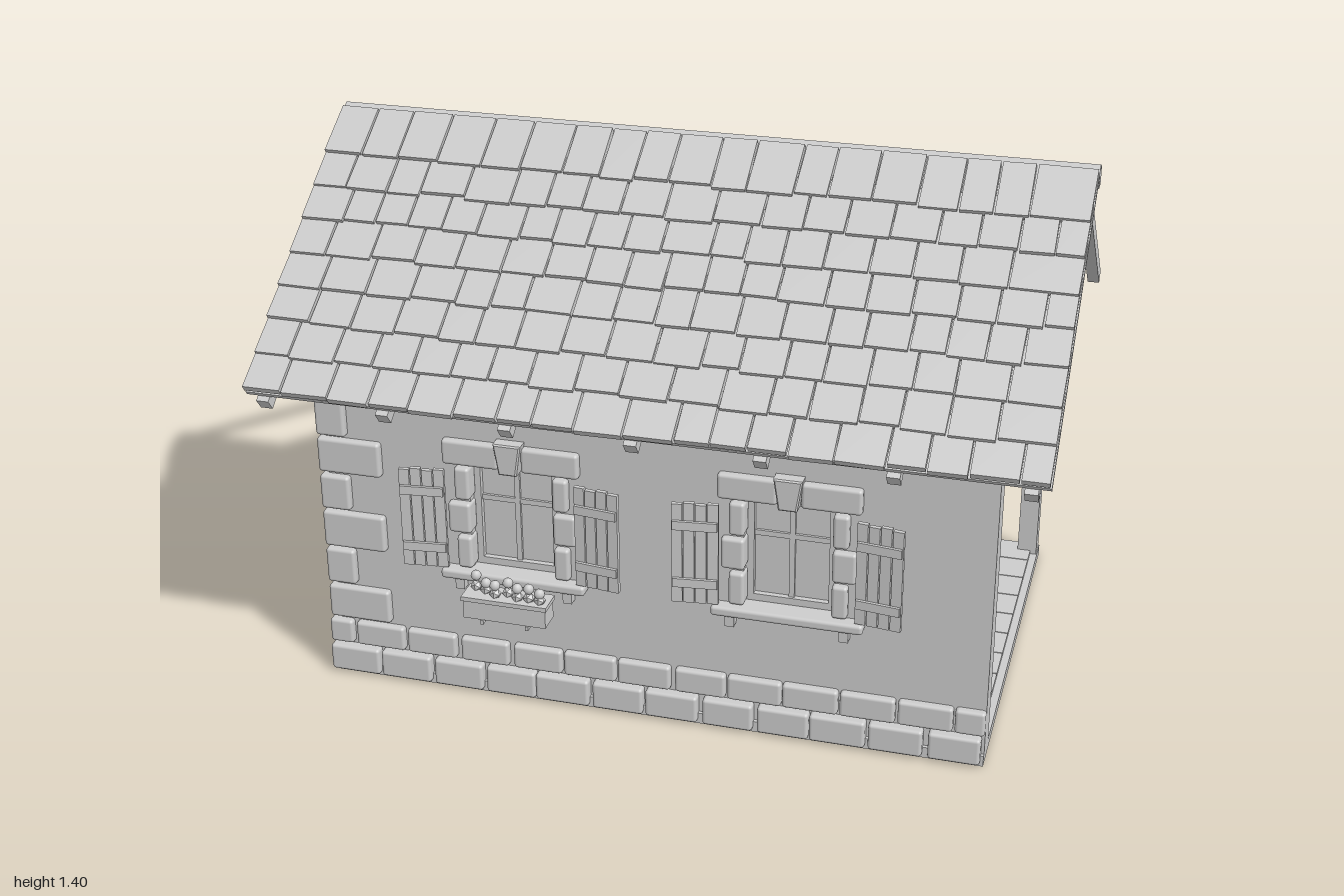
import * as THREE from 'three';
import { RoundedBoxGeometry } from 'three/addons/geometries/RoundedBoxGeometry.js';

const grey = new THREE.MeshStandardMaterial({ color: 0xcccccc });
grey.name = 'plain grey';

let seed = 7;
const rand = () => (seed = (seed * 16807) % 2147483647) / 2147483647;

function add(parent, name, geo, x = 0, y = 0, z = 0) {
  const m = new THREE.Mesh(geo, grey);
  m.name = name;
  m.position.set(x, y, z);
  parent.add(m);
  return m;
}

// box given by its lower and upper bounds
function span(parent, name, x0, x1, y0, y1, z0, z1) {
  return add(parent, name, new THREE.BoxGeometry(x1 - x0, y1 - y0, z1 - z0),
    (x0 + x1) / 2, (y0 + y1) / 2, (z0 + z1) / 2);
}

// softly rounded stone, same bounds
function stone(parent, name, x0, x1, y0, y1, z0, z1) {
  return add(parent, name, new RoundedBoxGeometry(x1 - x0, y1 - y0, z1 - z0, 2, 0.009),
    (x0 + x1) / 2, (y0 + y1) / 2, (z0 + z1) / 2);
}

function group(parent, name) {
  const g = new THREE.Group();
  g.name = name;
  parent.add(g);
  return g;
}

// Wall in local space: outer face at z = 0, facing +z, with window openings
function wall(parent, name, x0, x1, windows) {
  const s = new THREE.Shape();
  s.moveTo(x0, 0.01).lineTo(x1, 0.01).lineTo(x1, 0.905).lineTo(x0, 0.905).closePath();
  for (const c of windows) {
    const h = new THREE.Path();
    h.moveTo(c - 0.115, 0.365).lineTo(c - 0.115, 0.665).lineTo(c + 0.115, 0.665).lineTo(c + 0.115, 0.365).closePath();
    s.holes.push(h);
  }
  add(parent, name, new THREE.ExtrudeGeometry(s, { depth: 0.07, bevelEnabled: false }), 0, 0, -0.07);
}

function windowUnit(parent, cx) {
  const g = group(parent, 'window');
  g.position.x = cx;
  // sash, glazing bars and pane
  for (const s of [-1, 1]) span(g, 'windowFrame', s * 0.105 - 0.01, s * 0.105 + 0.01, 0.365, 0.665, -0.06, -0.025);
  for (const y of [0.375, 0.655]) span(g, 'windowFrame', -0.095, 0.095, y - 0.01, y + 0.01, -0.06, -0.025);
  span(g, 'glazingBar', -0.007, 0.007, 0.385, 0.645, -0.052, -0.032);
  span(g, 'glazingBar', -0.095, 0.095, 0.548, 0.562, -0.051, -0.033);
  span(g, 'pane', -0.095, 0.095, 0.385, 0.645, -0.044, -0.04);
  // inside and outside sills
  span(g, 'innerSill', -0.125, 0.125, 0.358, 0.368, -0.09, -0.045);
  stone(g, 'sill', -0.193, 0.193, 0.34, 0.367, -0.03, 0.035);
  for (const s of [-1, 1]) {
    span(g, 'sillBracket', s * 0.145 - 0.012, s * 0.145 + 0.012, 0.31, 0.34, 0, 0.025);
    // stone surround
    [[0.37, 0.46, 0.15], [0.47, 0.555, 0.17], [0.565, 0.655, 0.15]].forEach(([y0, y1, w]) =>
      stone(g, 'jambStone', Math.min(s * 0.11, s * w), Math.max(s * 0.11, s * w), y0, y1, -0.03, 0.02));
    stone(g, 'lintelStone', s > 0 ? 0.03 : -0.18, s > 0 ? 0.18 : -0.03, 0.662, 0.73, -0.03, 0.02);
    // shutter of four slats and two battens
    const sh = group(g, 'shutter');
    sh.position.set(s * 0.172, 0, 0.018);
    sh.rotation.y = -s * 0.12;
    for (let i = 0; i < 4; i++) {
      const x = s * (0.015 + i * 0.03);
      span(sh, 'shutterSlat', x - 0.0135, x + 0.0135, 0.372, 0.65 - 0.004 * (i % 2), 0, 0.012);
    }
    for (const y of [0.43, 0.59]) span(sh, 'shutterBatten', s > 0 ? 0.004 : -0.116, s > 0 ? 0.116 : -0.004, y - 0.012, y + 0.012, 0.012, 0.02);
  }
  // tapered keystone
  const k = new THREE.Shape();
  k.moveTo(-0.02, 0.662).lineTo(0.02, 0.662).lineTo(0.032, 0.738).lineTo(-0.032, 0.738).closePath();
  add(g, 'keystone', new THREE.ExtrudeGeometry(k, { depth: 0.045, bevelSize: 0.004, bevelThickness: 0.004, bevelSegments: 1 }), 0, 0, -0.015);
  return g;
}

function flowerBox(g) {
  const box = group(g, 'flowerBox');
  span(box, 'boxBody', -0.11, 0.11, 0.272, 0.33, 0.035, 0.097);
  span(box, 'boxRim', -0.114, 0.114, 0.322, 0.334, 0.031, 0.101);
  for (const x of [-0.06, 0.06]) {
    span(box, 'boxBracket', x - 0.004, x + 0.004, 0.26, 0.272, 0, 0.1);
    span(box, 'boxBracket', x - 0.004, x + 0.004, 0.22, 0.27, 0, 0.008);
  }
  for (let i = 0; i < 7; i++) {
    const x = -0.09 + i * 0.03, z = 0.066 + (rand() - 0.5) * 0.035, y = 0.355 + rand() * 0.018;
    add(box, 'flower', new THREE.IcosahedronGeometry(0.014, 1), x, y, z);
    add(box, 'leaves', new THREE.IcosahedronGeometry(0.016, 0), x, 0.341, z);
  }
}

// Two courses of base stones along local x
function baseStones(parent, x0, x1) {
  [[0.008, 0.083, 0], [0.09, 0.158, 0.5]].forEach(([y0, y1, shift], row) => {
    const n = Math.round((x1 - x0) / 0.146), w = (x1 - x0) / n;
    for (let i = 0; i <= n; i++) {
      const a = Math.max(x0, x0 + (i - shift) * w + (i ? (rand() - 0.5) * 0.015 : 0));
      const b = Math.min(x1, x0 + (i + 1 - shift) * w - 0.008);
      if (b - a > 0.03) stone(parent, 'baseStone', a, b, y0, y1, -0.02, 0.027 - row * 0.007);
    }
  });
}

const quoinRows = [[0.168, 0.262], [0.272, 0.372], [0.38, 0.482], [0.49, 0.586], [0.596, 0.692], [0.7, 0.802], [0.81, 0.885]];

export function createModel() {
  const model = new THREE.Group();
  model.name = 'openBackCottage';

  // floor
  span(model, 'floorSlab', -0.87, 0.86, 0, 0.03, -0.56, 0.56);
  for (let i = 0; i < 10; i++) span(model, 'floorPlank', -0.79, 0.84, 0.03, 0.04, -0.545 + i * 0.105, -0.443 + i * 0.105);

  // front wall
  const front = group(model, 'frontSide');
  front.position.z = 0.55;
  wall(front, 'frontWall', -0.86, 0.86, [-0.36, 0.355]);
  flowerBox(windowUnit(front, -0.36));
  windowUnit(front, 0.355);
  baseStones(front, -0.885, 0.86);

  // end wall, turned to face -x
  const end = group(model, 'endSide');
  end.position.x = -0.86;
  end.rotation.y = -Math.PI / 2;
  wall(end, 'endWall', -0.555, 0.55, [-0.005]);
  windowUnit(end, -0.005);
  baseStones(end, -0.56, 0.55);

  // corner stones, long and short faces alternating
  quoinRows.forEach(([y0, y1], i) => {
    const long = i % 2 === 0;
    stone(model, 'cornerStone', -0.88, long ? -0.71 : -0.8, y0, y1, long ? 0.48 : 0.4, 0.57);
  });

  // skirting
  span(model, 'skirting', -0.79, -0.78, 0.04, 0.08, -0.48, 0.48);
  span(model, 'skirting', -0.78, 0.84, 0.04, 0.08, 0.47, 0.48);

  // timber frame
  for (const x of [-0.815, -0.22, 0.22, 0.83]) span(model, 'post', x - 0.027, x + 0.027, 0.03, 0.91, -0.555, -0.5);
  for (const z of [-0.53, 0.52]) span(model, 'wallPlate', -0.86, 0.86, 0.905, 0.953, z - 0.028, z + 0.028);
  for (const x of [-0.832, -0.285, 0.285, 0.832]) span(model, 'tieBeam', x - 0.026, x + 0.026, 0.918, 0.962, -0.572, 0.55);
  span(model, 'ridgeBeam', -0.99, 0.99, 1.345, 1.392, -0.02, 0.02);

  // table
  const table = group(model, 'table');
  span(table, 'tableTop', -0.5, 0.49, 0.292, 0.316, 0.045, 0.318);
  for (const x of [-0.37, 0.37]) {
    for (const z of [0.07, 0.285]) span(table, 'tableLeg', x - 0.016, x + 0.016, 0.04, 0.292, z - 0.016, z + 0.016);
  }

  // roof slopes: local z runs down the slope, local y is its normal
  const pitch = Math.atan(0.77), length = 0.7 / Math.cos(pitch);
  for (const side of [1, -1]) {
    const slope = group(model, side > 0 ? 'frontRoof' : 'backRafters');
    slope.position.y = 1.375;
    slope.rotation.x = side * pitch;
    for (let i = -3; i <= 3; i++) {
      const x = i * 0.315;
      span(slope, 'rafter', x - 0.016, x + 0.016, -0.0175, 0.0175, side > 0 ? 0 : -length, side > 0 ? length : 0);
    }
    if (side < 0) continue;
    span(slope, 'roofBoard', -0.99, 0.99, 0.0175, 0.03, -0.01, length - 0.015);
    // eight overlapping courses of uneven shingles
    for (let r = 0; r < 8; r++) {
      const foot = (0.13 + r * 0.08) / Math.cos(pitch);
      let x = -0.99;
      while (x < 0.985) {
        let w = 0.085 + rand() * 0.04;
        if (x + w > 0.94) w = 0.99 - x;
        const len = 0.15 + rand() * 0.012;
        const t = add(slope, 'shingle', new THREE.BoxGeometry(w - 0.005, 0.017, len),
          x + w / 2, 0.043 + rand() * 0.003, foot - 0.15 + len / 2);
        t.rotation.set(-0.09, (rand() - 0.5) * 0.03, 0);
        x += w;
      }
    }
  }
  return model;
}
